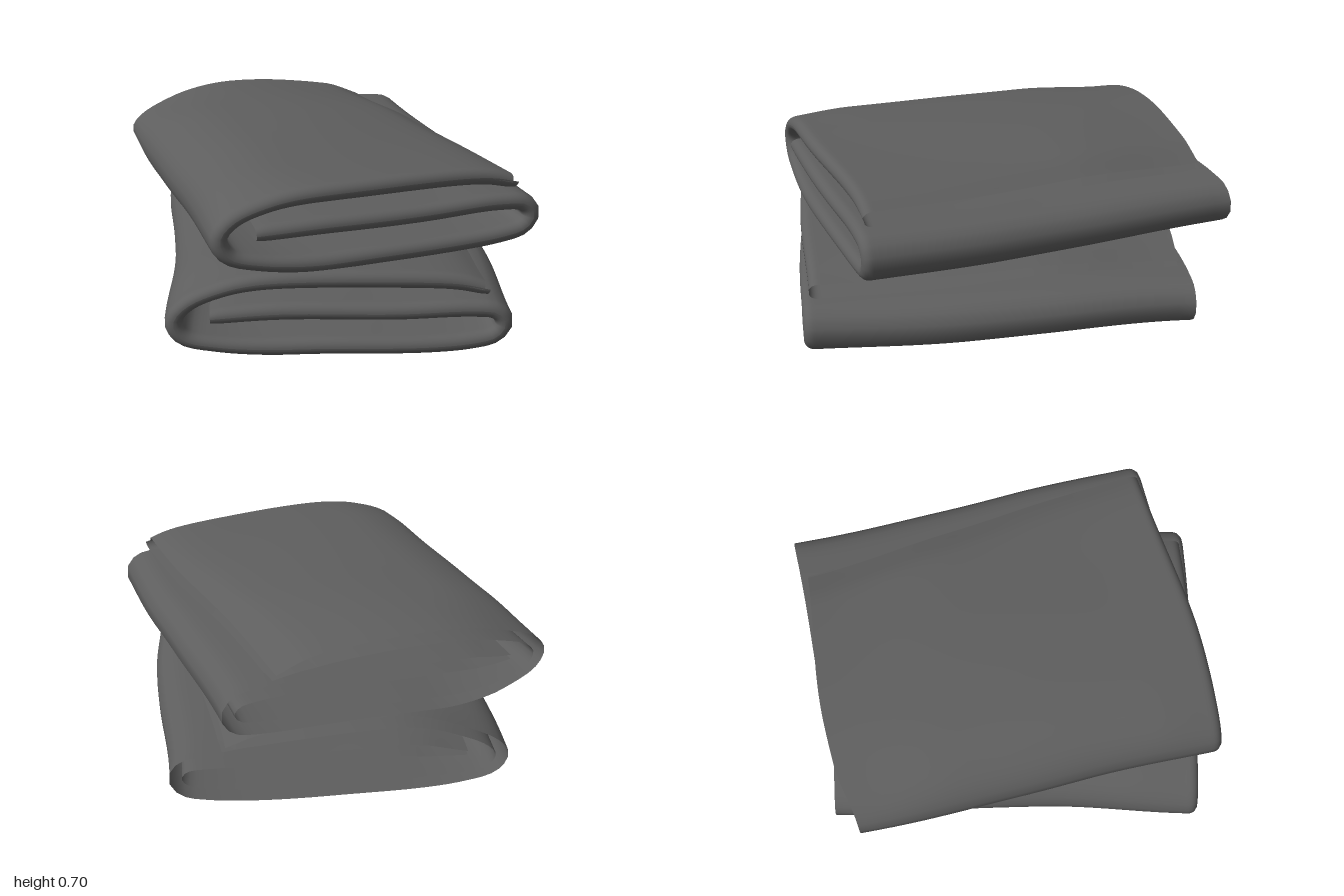
import * as THREE from 'three';

const { smoothstep, lerp } = THREE.MathUtils;
const ROWS = 44;   // stations across the towel
const STEPS = 120; // points along the folded path

// Folded path seen from the side: top flap, big fold, base, small fold, inner layer
const foldPath = new THREE.CatmullRomCurve3([
  [0.49, 0.245], [0.37, 0.278], [0.12, 0.302], [-0.2, 0.307], [-0.43, 0.292], [-0.57, 0.24],
  [-0.625, 0.165], [-0.59, 0.08], [-0.46, 0.04], [0, 0.036], [0.5, 0.038], [0.6, 0.06],
  [0.63, 0.108], [0.6, 0.155], [0.49, 0.174], [0.2, 0.176], [-0.2, 0.18], [-0.49, 0.17],
].map(([x, y]) => new THREE.Vector3(x, y, 0)));

// Cloth doubled over: two sheets joined by a round border at one side, open at the other
function doubledCloth({ phase, shift, width, cut, sway, pinch, pinchY }) {
  const points = foldPath.getSpacedPoints(STEPS);
  const positions = [], indices = [];
  const ring = 2 * (STEPS + 1);

  for (let j = 0; j <= ROWS; j++) {
    const s = 1 - 2 * (1 - j / ROWS) ** 2;               // -1..1, denser at the round border
    const r = Math.min(1, (1 - s) / 0.05);
    const half = lerp(0.025, 0.035, (s + 1) / 2) * Math.sqrt(1 - (1 - r) ** 2);
    const hemThickness = lerp(0.4, 0.85, (s + 1) / 2);

    for (let i = 0; i < ring; i++) {
      const inner = i > STEPS;
      const k = inner ? ring - 1 - i : i;
      const p = points[k];
      const a = points[Math.max(0, k - 1)], b = points[Math.min(STEPS, k + 1)];
      const len = Math.hypot(b.x - a.x, b.y - a.y);
      const hem = Math.min(1, hemThickness + Math.min(k, STEPS - k) / 8);
      const off = (inner ? 1 : -1) * half * hem;
      let u = p.x - (b.y - a.y) / len * off;
      let y = p.y + (b.x - a.x) / len * off;

      // slanted flap hem, drooping at the open side, lower sheet reaching further
      const flap = 1 - smoothstep(k / STEPS, 0, 0.2);
      u += flap * (0.055 * s + (inner ? 0.025 : 0));
      y -= 0.035 * flap * smoothstep(-s, 0.2, 1);
      // slightly wavy side borders, eased corner at the open end of the big fold
      const corner = s < 0 ? cut * smoothstep(-u, 0.4, 0.64) : 0;
      const v = shift + s * (width - corner - 0.03 * flap + 0.008 * Math.sin(5 * u + phase));
      // big fold flattens towards both sides, more at the open one
      const squeeze = smoothstep(-u, 0.2, 0.62);
      y = lerp(y, pinchY, pinch * squeeze * smoothstep(-v, 0.35, 0.78));
      y = lerp(y, 0.15, 0.15 * squeeze * smoothstep(v, 0.45, 0.78));
      // gentle sag and bow shared by every layer
      y += 0.007 * Math.sin(4 * u + 3 * v + phase);
      u += sway * Math.sin(4 * v + phase) + 0.018 * (1 - smoothstep(Math.abs(v), 0.15, 0.7));
      positions.push(u, y, v);
    }
  }
  for (let j = 0; j < ROWS; j++) {
    for (let i = 0; i < ring - 1; i++) {
      if (i === STEPS) continue; // the sheets stay apart at the hem
      const a = j * ring + i, b = a + 1;
      indices.push(a, b, b + ring, a, b + ring, a + ring);
    }
  }
  const geometry = new THREE.BufferGeometry();
  geometry.setAttribute('position', new THREE.Float32BufferAttribute(positions, 3));
  geometry.setIndex(indices);
  geometry.computeVertexNormals();
  return geometry;
}

export function createModel() {
  const group = new THREE.Group();
  group.name = 'foldedTowels';
  const material = new THREE.MeshStandardMaterial({ color: 0x5e5e5e, side: THREE.DoubleSide });

  const towels = [
    { name: 'lowerTowel', at: [0.01, 0.008, -0.01], turn: 39.6,
      phase: 0.6, shift: 0.02, width: 0.77, cut: 0.005, sway: 0.01, pinch: 0.25, pinchY: 0.03 },
    { name: 'upperTowel', at: [0, 0.35, 0], turn: 52.8,
      phase: 2.4, shift: -0.035, width: 0.762, cut: 0.03, sway: -0.01, pinch: 0.25, pinchY: 0.165 },
  ];
  for (const towel of towels) {
    const mesh = new THREE.Mesh(doubledCloth(towel), material);
    mesh.name = towel.name;
    mesh.position.set(...towel.at);
    mesh.rotation.y = THREE.MathUtils.degToRad(towel.turn);
    group.add(mesh);
  }
  return group;
}
